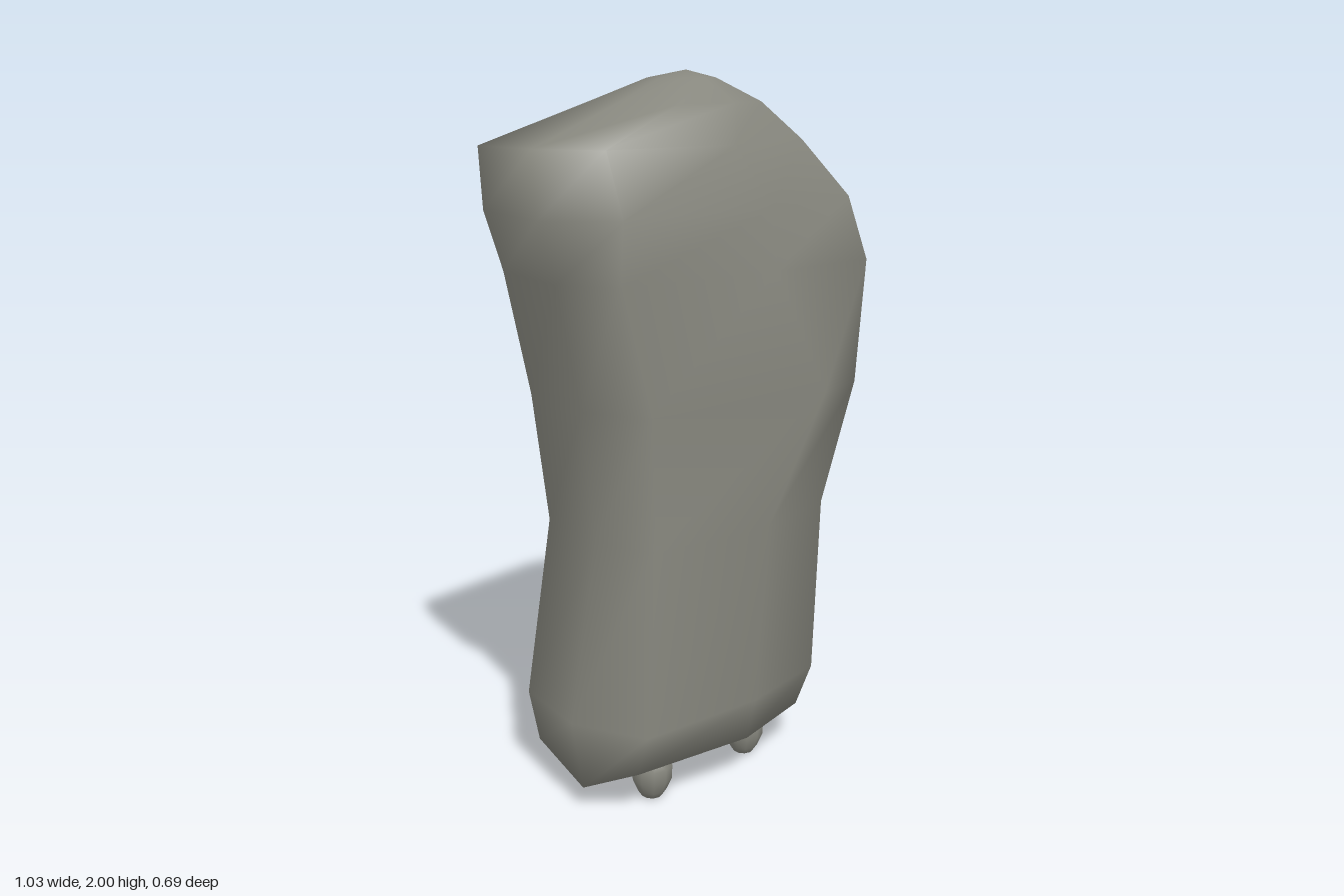
import * as THREE from 'three';

// Eight-sided sections from bottom to top: height, then [x, z] (or [x, z, own height])
// running round as front row, +x side, back row, -x side.
const SECTIONS = [
  { y: 0.14, plan: [[-0.27, 0.16], [0.1, 0.22], [0.37, 0.17], [0.46, -0.04, 0.11], [0.46, -0.24], [0.15, -0.31], [-0.31, -0.22, 0.12], [-0.35, 0.02, 0.075]] },
  { y: 0.27, plan: [[-0.28, 0.21], [0.1, 0.25], [0.39, 0.21], [0.475, 0], [0.48, -0.26], [0.15, -0.335], [-0.33, -0.24], [-0.37, 0]] },
  { y: 0.79, plan: [[-0.24, 0.2], [0.12, 0.27], [0.4, 0.22], [0.46, 0], [0.45, -0.25], [0.17, -0.345], [-0.27, -0.2], [-0.3, 0.03]] },
  { y: 1.16, plan: [[-0.27, 0.22], [0.26, 0.34], [0.42, 0.31], [0.47, 0.05], [0.45, -0.23], [0.15, -0.29], [-0.33, -0.19], [-0.36, 0.05]] },
  { y: 1.5, plan: [[-0.36, 0.21], [0.1, 0.3], [0.44, 0.32], [0.515, 0], [0.42, -0.18], [0.14, -0.24], [-0.41, -0.19], [-0.46, 0.08]] },
  { y: 1.66, plan: [[-0.36, 0.22], [0.1, 0.28], [0.49, 0.21], [0.515, 0.02], [0.32, -0.18], [0.12, -0.215], [-0.46, -0.2], [-0.52, 0.09]] },
  { y: 1.82, plan: [[-0.36, 0.16], [0.02, 0.22], [0.31, 0.19], [0.36, 0], [0.2, -0.175], [0.08, -0.195], [-0.47, -0.2], [-0.46, 0]] },
  { y: 1.92, plan: [[-0.12, 0.16], [0.06, 0.18], [0.19, 0.15], [0.22, 0], [0.14, -0.16], [0.04, -0.175], [-0.14, -0.16], [-0.18, 0]] },
];
const SIDES = 8;
const BASE = new THREE.Vector3(0.05, 0.07, -0.08);
const TIP = new THREE.Vector3(0.08, 2, -0.02);

// Skin the rings and close them with a fan to a point at each end
function loft(rings, base, tip) {
  const points = [...rings.flat(), base, tip];
  const baseIndex = points.length - 2, tipIndex = points.length - 1;
  const top = (rings.length - 1) * SIDES;
  const index = [];
  for (let i = 0; i < SIDES; i++) {
    const j = (i + 1) % SIDES;
    for (let r = 0; r < top; r += SIDES) {
      const a = r + i, b = r + j;
      index.push(a, b, b + SIDES, a, b + SIDES, a + SIDES);
    }
    index.push(baseIndex, j, i, tipIndex, top + i, top + j);
  }
  const geometry = new THREE.BufferGeometry().setFromPoints(points);
  geometry.setIndex(index);
  geometry.computeVertexNormals();
  return geometry;
}

export function createModel() {
  const group = new THREE.Group();
  const material = new THREE.MeshStandardMaterial({ color: 0x88887f });

  // Stone body, with a small rounded crown below the tip
  const rings = SECTIONS.map(({ y, plan }) => plan.map(([x, z, own = y]) => new THREE.Vector3(x, own, z)));
  const crown = rings[rings.length - 1].map(p => TIP.clone().lerp(p, 0.4).setY(1.98));
  const body = new THREE.Mesh(loft([...rings, crown], BASE, TIP), material);
  body.name = 'stoneBody';
  group.add(body);

  // Four stubby tapered feet
  const profile = [[0, 0], [0.03, 0.005], [0.043, 0.025], [0.058, 0.06], [0.06, 0.1], [0.045, 0.135], [0, 0.15]];
  const footGeometry = new THREE.LatheGeometry(profile.map(p => new THREE.Vector2(...p)), 10);
  for (const x of [-0.15, 0.23]) {
    for (const z of [0.085, -0.18]) {
      const foot = new THREE.Mesh(footGeometry, material);
      foot.name = (z > 0 ? 'front' : 'back') + (x > 0 ? 'Left' : 'Right') + 'Foot';
      foot.position.set(x, 0, z);
      group.add(foot);
    }
  }
  return group;
}
